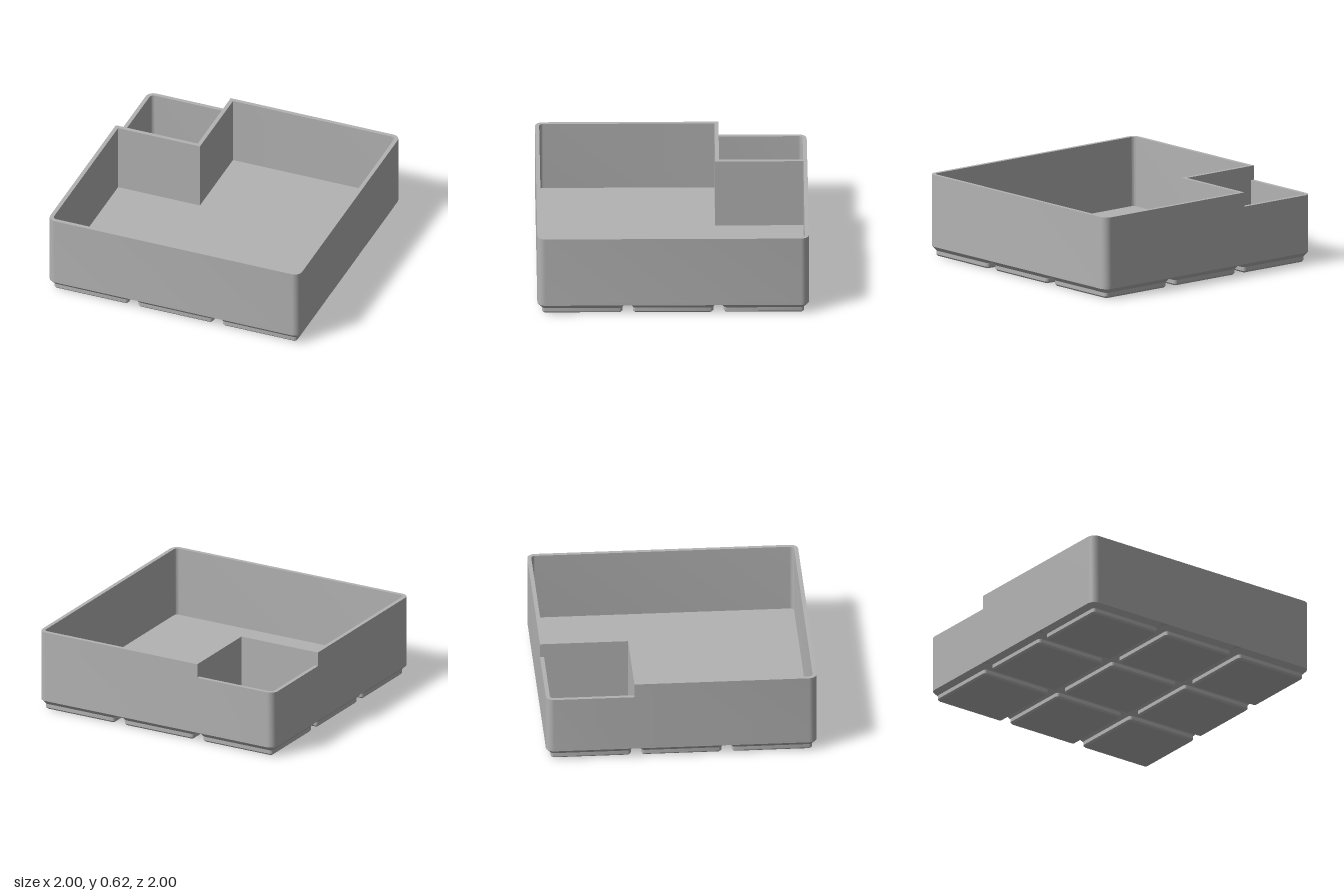
import * as THREE from 'three';
import { toCreasedNormals } from 'three/addons/utils/BufferGeometryUtils.js';

const TOP = 0.617, LOW_TOP = 0.51, FLOOR = 0.095, BASE = 0.0757;
const PITCH = 0.6693, OUT_R = 0.06, IN_R = 0.03, INNER = 0.97;

// Corner points of a polygon [x, y, radius?]; corners with a radius are rounded.
function outline(corners, Type = THREE.Shape) {
  const pts = [];
  const n = corners.length;
  corners.forEach(([x, y, r], i) => {
    const p = new THREE.Vector2(x, y);
    if (!r) { pts.push(p); return; }
    const prev = corners[(i + n - 1) % n], next = corners[(i + 1) % n];
    const u = new THREE.Vector2(prev[0] - x, prev[1] - y).normalize();
    const v = new THREE.Vector2(next[0] - x, next[1] - y).normalize();
    const steps = 8;
    for (let k = 0; k <= steps; k++) {
      const a = (k / steps) * Math.PI / 2;
      pts.push(p.clone()
        .addScaledVector(u, r * (1 - Math.sin(a)))
        .addScaledVector(v, r * (1 - Math.cos(a))));
    }
  });
  return new Type(pts);
}

const square = (h, r) => [[-h, -h, r], [h, -h, r], [h, h, r], [-h, h, r]];

// Extrude a plan (shape y = -z) between two heights.
function slab(shape, y0, y1) {
  const g = new THREE.ExtrudeGeometry(shape, { depth: y1 - y0, bevelEnabled: false, curveSegments: 32 });
  g.rotateX(-Math.PI / 2).translate(0, y0, 0);
  return toCreasedNormals(g, 0.5);
}

// Stepped foot lofted through rounded squares, closed underneath.
function footGeometry() {
  const levels = [[0, 0.284, 0.0128], [0.0128, 0.2964, 0.0255], [0.0414, 0.2964, 0.0255], [BASE, 0.3307, OUT_R]];
  const pos = [], idx = [];
  let n = 0;
  for (const [y, h, r] of levels) {
    const pts = outline(square(h, r)).getPoints().slice(0, 36);
    n = pts.length;
    pts.forEach(p => pos.push(p.x, y, -p.y));
  }
  for (let l = 0; l < levels.length - 1; l++) {
    for (let i = 0; i < n; i++) {
      const a = l * n + i, b = l * n + (i + 1) % n;
      idx.push(a, b, b + n, a, b + n, a + n);
    }
  }
  pos.push(0, 0, 0);
  const centre = levels.length * n;
  for (let i = 0; i < n; i++) idx.push(centre, (i + 1) % n, i);
  const g = new THREE.BufferGeometry();
  g.setAttribute('position', new THREE.Float32BufferAttribute(pos, 3));
  g.setIndex(idx);
  return toCreasedNormals(g, 0.5);
}

export function createModel() {
  const model = new THREE.Group();
  model.name = 'storageBin';
  const grey = new THREE.MeshStandardMaterial({ color: 0xb3b3b3 });
  grey.name = 'grey';
  const add = (name, geometry, parent = model) => {
    const mesh = new THREE.Mesh(geometry, grey);
    mesh.name = name;
    parent.add(mesh);
    return mesh;
  };

  // Floor with the opening of the round socket
  const floor = outline(square(1, OUT_R));
  const opening = new THREE.Path();
  opening.absarc(-PITCH, PITCH, 0.183, 0, Math.PI * 2, true);
  floor.holes.push(opening);
  add('floor', slab(floor, BASE, FLOOR));

  // Chamfered blind socket in the corner compartment
  const profile = [[0.183, FLOOR], [0.147, 0.059], [0.147, 0.02], [0, 0.02]].map(p => new THREE.Vector2(...p));
  const socket = add('socket', toCreasedNormals(new THREE.LatheGeometry(profile, 64), 0.5));
  socket.position.set(-PITCH, 0, -PITCH);

  // Tall wall around the large L-shaped compartment
  const wall = outline([[-1, 0.35], [-1, -1, OUT_R], [1, -1, OUT_R], [1, 1, OUT_R], [-0.35, 1], [-0.35, 0.35]]);
  wall.holes.push(outline([[-INNER, 0.32], [-INNER, -INNER, IN_R], [INNER, -INNER, IN_R],
    [INNER, INNER, IN_R], [-0.32, INNER], [-0.32, 0.32]], THREE.Path));
  add('tallWall', slab(wall, FLOOR, TOP));

  // Lower outer wall of the small corner compartment
  add('lowCornerWall', slab(outline([[-1, 0.35], [-INNER, 0.35], [-INNER, INNER, IN_R],
    [-0.35, INNER], [-0.35, 1], [-1, 1, OUT_R]]), FLOOR, LOW_TOP));

  // Three by three grid of feet
  const feet = new THREE.Group();
  feet.name = 'feet';
  model.add(feet);
  const foot = footGeometry();
  for (let i = -1; i <= 1; i++) {
    for (let j = -1; j <= 1; j++) add('foot', foot, feet).position.set(i * PITCH, 0, j * PITCH);
  }
  return model;
}
